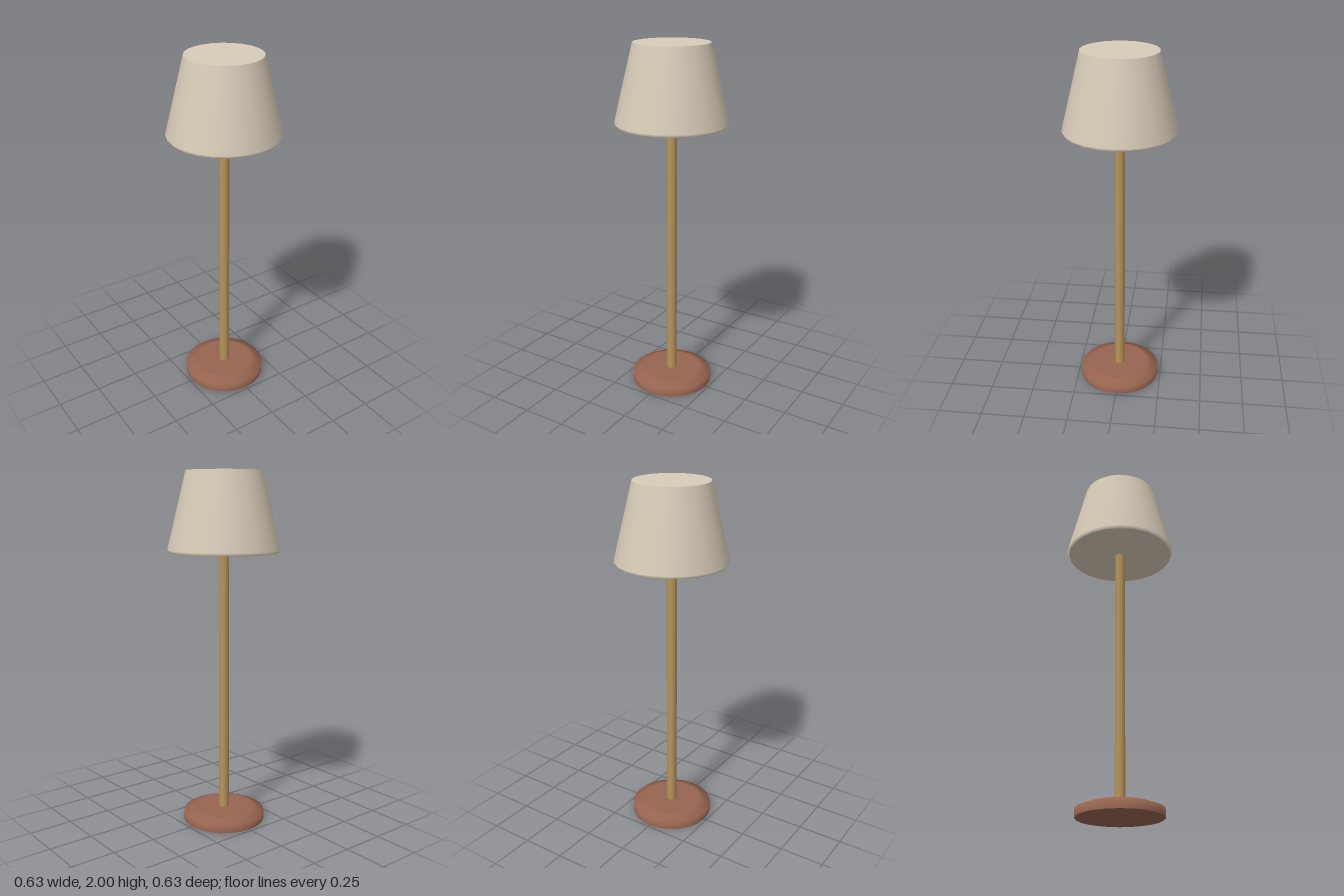
import * as THREE from 'three';

const SIDES = 24;

function material(name, color) {
  const m = new THREE.MeshStandardMaterial({ color });
  m.name = name;
  return m;
}

// A smooth turned wall (profile listed bottom to top) closed by flat caps
function turnedPart(name, profile, mat, sides = SIDES) {
  const part = new THREE.Group();
  part.name = name;
  const points = profile.map(([r, y]) => new THREE.Vector2(r, y));

  const wall = new THREE.Mesh(new THREE.LatheGeometry(points, sides), mat);
  wall.name = name + 'Wall';
  part.add(wall);

  const addCap = (suffix, point, direction) => {
    const geometry = new THREE.CircleGeometry(point.x, sides);
    geometry.rotateX(-direction * Math.PI / 2);
    const cap = new THREE.Mesh(geometry, mat);
    cap.name = name + suffix;
    cap.position.y = point.y;
    part.add(cap);
  };
  addCap('Bottom', points[0], -1);
  addCap('Top', points[points.length - 1], 1);
  return part;
}

export function createModel() {
  const lamp = new THREE.Group();
  lamp.name = 'floorLamp';

  const shadeFabric = material('cream fabric', 0xd8cbb8);
  const poleMetal = material('brass', 0xb8935a);
  const baseWood = material('brown wood', 0x966450);

  // Round foot with a shallow bevelled top
  lamp.add(turnedPart('base', [[0.235, 0], [0.235, 0.047], [0.178, 0.068]], baseWood));

  // Slim pole running from the foot into the shade
  lamp.add(turnedPart('pole', [[0.029, 0.06], [0.029, 1.6]], poleMetal, 12));

  // Closed tapered shade with a small rolled lower rim
  lamp.add(turnedPart('shade', [[0.302, 1.558], [0.313, 1.575], [0.209, 2]], shadeFabric));

  return lamp;
}
